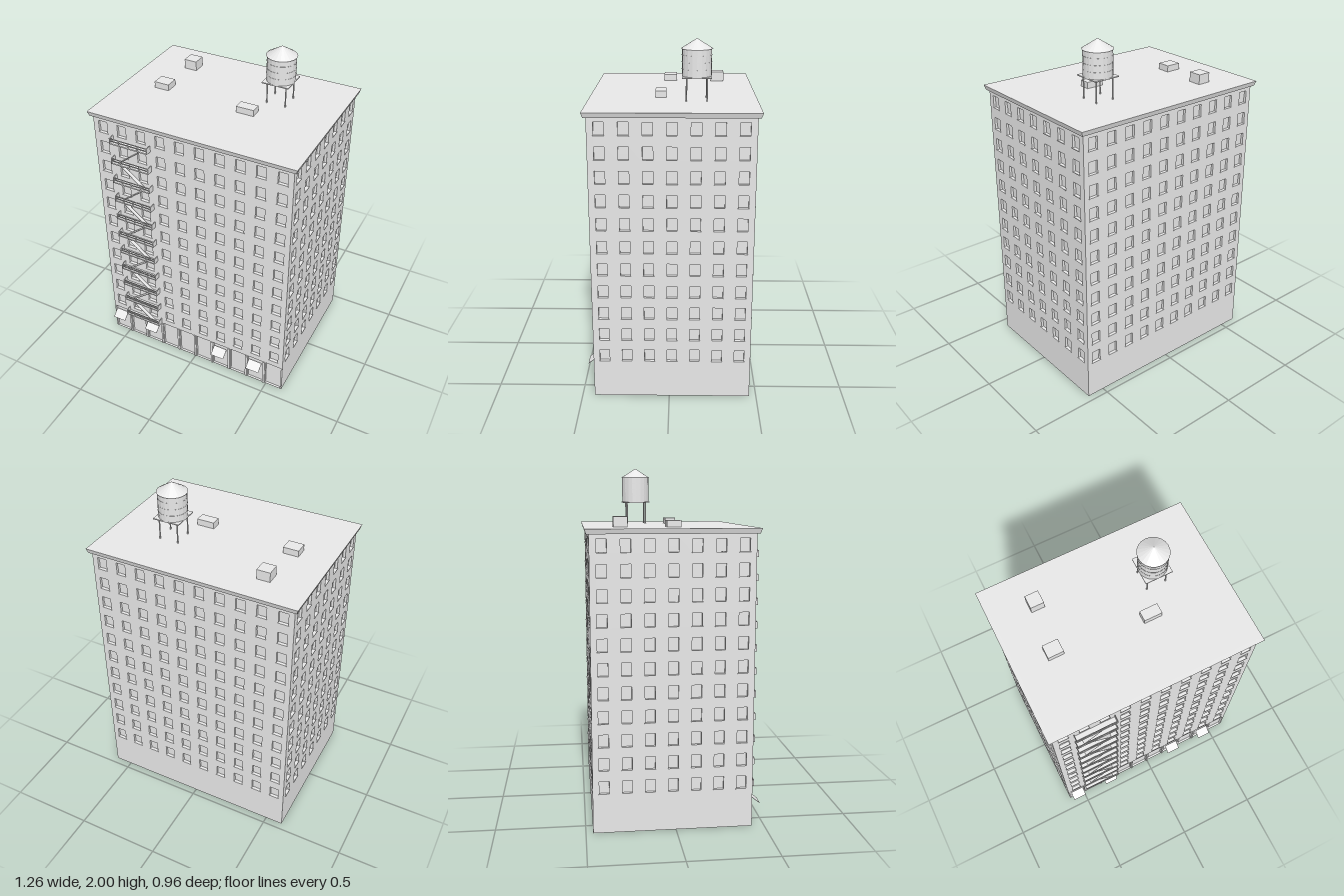
import * as THREE from 'three';
import { mergeGeometries } from 'three/addons/utils/BufferGeometryUtils.js';

const stone = new THREE.MeshStandardMaterial({ color: 0xe7e7e7, side: THREE.DoubleSide });
stone.name = 'paleGrey';

const W = 1.21, D = 0.89, CZ = -0.015;  // body width, depth, centre in z
const FRONT = CZ + D / 2;
const WALL_TOP = 1.64, ROOF = 1.665;
const ROWS = 11, ROW0 = 0.26, ROW_STEP = 0.1316;
const COLUMNS = 10, COLUMN_STEP = 0.121;
const WIN_W = 0.058, WIN_H = 0.075;
const BAY_W = 0.105, BAY_H = 0.185;

function add(parent, name, geometry, x = 0, y = 0, z = 0) {
  const m = new THREE.Mesh(geometry, stone);
  m.name = name;
  m.position.set(x, y, z);
  parent.add(m);
  return m;
}

function rect(Type, w, h, cx = 0, cy = 0) {
  const p = new Type();
  p.moveTo(cx - w / 2, cy - h / 2);
  p.lineTo(cx + w / 2, cy - h / 2);
  p.lineTo(cx + w / 2, cy + h / 2);
  p.lineTo(cx - w / 2, cy + h / 2);
  p.closePath();
  return p;
}

function box(w, h, d, x = 0, y = 0, z = 0) {
  return new THREE.BoxGeometry(w, h, d).toNonIndexed().translate(x, y, z);
}

// Thin lining of an opening, reaching back from the wall face
function reveal(w, h, depth) {
  const ring = rect(THREE.Shape, w, h);
  ring.holes.push(rect(THREE.Path, w - 0.003, h - 0.003));
  return new THREE.ExtrudeGeometry(ring, { depth, bevelEnabled: false }).translate(0, 0, -depth);
}

// Recessed sash window with two stepped panes and a sill
function windowGeometry() {
  return mergeGeometries([
    reveal(WIN_W, WIN_H, 0.018),
    box(WIN_W - 0.003, WIN_H / 2, 0.003, 0, WIN_H / 4 - 0.002, -0.0145),
    box(WIN_W - 0.003, WIN_H / 2, 0.003, 0, -WIN_H / 4 + 0.002, -0.0165),
    box(WIN_W + 0.004, 0.004, 0.007, 0, -WIN_H / 2, 0),
  ]);
}

// Recessed shop bay
function bayGeometry() {
  return mergeGeometries([
    reveal(BAY_W, BAY_H, 0.016),
    box(BAY_W - 0.003, BAY_H - 0.003, 0.002, 0, 0, -0.015),
  ]);
}

const centred = (i, count, step) => (i - (count - 1) / 2) * step;

// One wall with its window openings, facing +z before it is turned
function makeWall(name, width, columns, step, hasShops) {
  const wall = new THREE.Group();
  wall.name = name;
  const shape = new THREE.Shape();
  shape.moveTo(-width / 2, 0);
  if (hasShops) {
    const bays = [];
    for (let i = 0; i < columns; i++) {
      const x = centred(i, columns, step), l = x - BAY_W / 2, r = x + BAY_W / 2;
      shape.lineTo(l, 0).lineTo(l, BAY_H).lineTo(r, BAY_H).lineTo(r, 0);
      bays.push(bayGeometry().translate(x, BAY_H / 2, 0));
    }
    add(wall, 'shopBays', mergeGeometries(bays));
  }
  shape.lineTo(width / 2, 0).lineTo(width / 2, WALL_TOP).lineTo(-width / 2, WALL_TOP);
  shape.closePath();

  const unit = windowGeometry();
  const windows = [];
  for (let r = 0; r < ROWS; r++) {
    for (let c = 0; c < columns; c++) {
      const x = centred(c, columns, step), y = ROW0 + r * ROW_STEP;
      shape.holes.push(rect(THREE.Path, WIN_W, WIN_H, x, y));
      windows.push(unit.clone().translate(x, y, 0));
    }
  }
  add(wall, name + 'Surface', new THREE.ShapeGeometry(shape));
  add(wall, name + 'Windows', mergeGeometries(windows));
  return wall;
}

// Hollow cornice whose outer face leans outwards towards the top
function corniceGeometry(lower, upper, y0, y1) {
  const s = rect(THREE.Shape, W + 2 * upper, D + 2 * upper);
  s.holes.push(rect(THREE.Path, W - 0.002, D - 0.002));
  const g = new THREE.ExtrudeGeometry(s, { depth: y1 - y0, bevelEnabled: false });
  g.rotateX(-Math.PI / 2);
  const p = g.attributes.position;
  for (let i = 0; i < p.count; i++) {
    if (p.getY(i) < 0.001 && Math.abs(p.getX(i)) > W / 2) {
      p.setX(i, Math.sign(p.getX(i)) * (W / 2 + lower));
      p.setZ(i, Math.sign(p.getZ(i)) * (D / 2 + lower));
    }
  }
  g.computeVertexNormals();
  return g.translate(0, y0, CZ);
}

function makeFireEscape() {
  const g = new THREE.Group();
  g.name = 'fireEscape';
  const cx = -0.364, w = 0.243, d = 0.038, h = 0.038, t = 0.004;
  // Landing: slab, end panels, open front railing with posts
  const parts = [
    box(w, 0.008, d, 0, 0.004, d / 2),
    box(t, h, d, -w / 2 + t / 2, h / 2, d / 2),
    box(t, h, d, w / 2 - t / 2, h / 2, d / 2),
    box(w, 0.005, t, 0, h - 0.0025, d - t / 2),
    box(w, 0.004, t, 0, h * 0.58, d - t / 2),
  ];
  for (let i = 1; i < 4; i++) parts.push(box(t, h, t, -w / 2 + (i * w) / 4, h / 2, d - t / 2));
  const landing = mergeGeometries(parts);
  const run = 0.165;
  for (let i = 0; i < ROWS; i++) {
    const y = 0.187 + i * ROW_STEP;
    add(g, 'landing', landing, cx, y, FRONT);
    // Stair flights alternate in direction
    if (i < ROWS - 1) {
      const flight = add(g, 'stairFlight', box(Math.hypot(run, ROW_STEP), 0.003, 0.022),
        cx, y + ROW_STEP / 2 + 0.005, FRONT + 0.018);
      flight.rotation.z = (i % 2 ? 1 : -1) * Math.atan2(ROW_STEP, run);
    }
  }
  return g;
}

function makeStorefront() {
  const g = new THREE.Group();
  g.name = 'storefront';
  // Slim pilasters between the bays
  for (let i = 0; i < COLUMNS - 1; i++) {
    add(g, 'pilaster', box(0.012, BAY_H, 0.006), centred(i, COLUMNS - 1, COLUMN_STEP), BAY_H / 2, FRONT + 0.002);
  }
  // Sloping awnings above four of the shops
  for (const bay of [0, 2, 6, 8]) {
    const awning = add(g, 'awning', box(0.086, 0.002, 0.062),
      centred(bay, COLUMNS, COLUMN_STEP), 0.144, FRONT + 0.024);
    awning.rotation.x = Math.atan2(0.038, 0.048);
  }
  return g;
}

function makeWaterTank() {
  const g = new THREE.Group();
  g.name = 'waterTank';
  g.position.set(0.266, 0, -0.146);
  for (const sx of [-1, 1]) {
    for (const sz of [-1, 1]) {
      add(g, 'tankLeg', new THREE.CylinderGeometry(0.004, 0.004, 0.13, 8),
        sx * 0.056, ROOF + 0.065, sz * 0.056);
    }
  }
  add(g, 'tankPlatform', box(0.159, 0.006, 0.162), 0, 1.795, 0);
  const barrel = new THREE.CylinderGeometry(0.082, 0.082, 0.148, 20).toNonIndexed();
  barrel.computeVertexNormals();
  add(g, 'tankBarrel', barrel, 0, 1.872, 0);
  for (const y of [1.835, 1.873, 1.911]) {
    add(g, 'tankHoop', new THREE.CylinderGeometry(0.0832, 0.0832, 0.003, 20), 0, y, 0);
  }
  const cone = new THREE.ConeGeometry(0.0875, 0.055, 20).toNonIndexed();
  cone.computeVertexNormals();
  add(g, 'tankRoof', cone, 0, 1.9725, 0);
  return g;
}

export function createModel() {
  const model = new THREE.Group();
  model.name = 'apartmentBuilding';

  // Four walls, open underneath
  const sides = [
    ['frontWall', W, COLUMNS, COLUMN_STEP, true, 0, 0, FRONT],
    ['backWall', W, COLUMNS, COLUMN_STEP, false, Math.PI, 0, CZ - D / 2],
    ['leftWall', D, 7, 0.127, false, Math.PI / 2, W / 2, CZ],
    ['rightWall', D, 7, 0.127, false, -Math.PI / 2, -W / 2, CZ],
  ];
  for (const [name, width, columns, step, hasShops, turn, x, z] of sides) {
    const wall = makeWall(name, width, columns, step, hasShops);
    wall.rotation.y = turn;
    wall.position.set(x, 0, z);
    model.add(wall);
  }

  // Cornice and flat roof
  add(model, 'cornice', corniceGeometry(0.014, 0.023, 1.637, ROOF));
  add(model, 'roof', new THREE.PlaneGeometry(W, D).rotateX(-Math.PI / 2), 0, ROOF, CZ);

  // Rooftop units: x, z, width, depth, height
  for (const [x, z, w, d, h] of [
    [-0.364, -0.282, 0.078, 0.078, 0.057],
    [-0.392, 0.007, 0.091, 0.078, 0.037],
    [0.158, 0.053, 0.105, 0.061, 0.037],
  ]) add(model, 'roofUnit', box(w, h, d), x, ROOF + h / 2, z);

  model.add(makeWaterTank(), makeFireEscape(), makeStorefront());
  return model;
}
